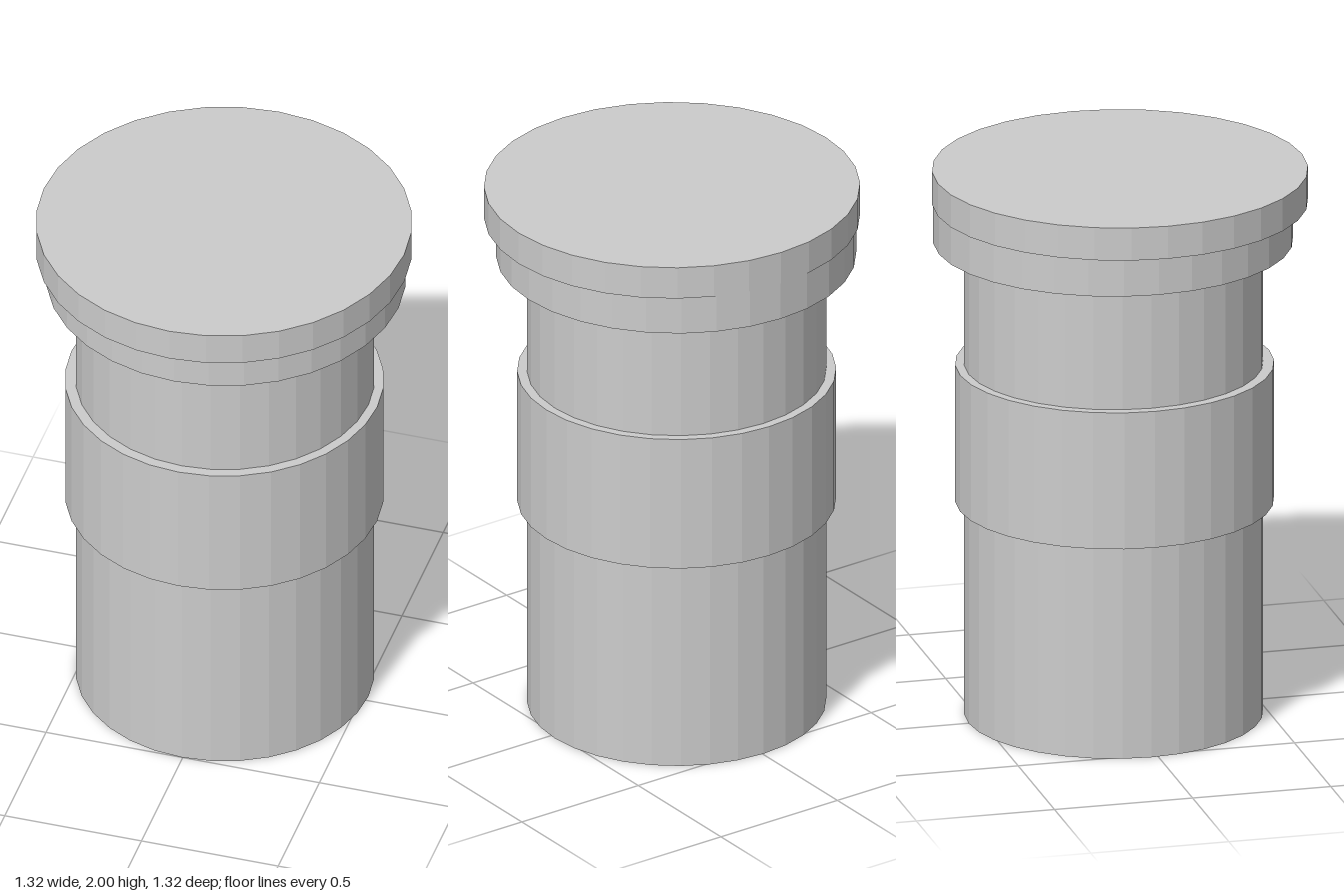
import * as THREE from 'three';

export function createModel() {
  const group = new THREE.Group();
  const material = new THREE.MeshStandardMaterial({ color: 0xcccccc, flatShading: true });

  // One faceted drum, standing from y0 to y1 and centred on (x, z)
  function drum(name, radius, y0, y1, x, z) {
    const mesh = new THREE.Mesh(new THREE.CylinderGeometry(radius, radius, y1 - y0, 32), material);
    mesh.name = name;
    mesh.position.set(x, (y0 + y1) / 2, z);
    group.add(mesh);
  }

  // The wide cap sits slightly off the axis of the parts below it
  drum('shaft', 0.524, 0, 1.74, -0.003, -0.024);
  drum('middleBand', 0.559, 0.785, 1.288, -0.005, -0.021);
  drum('collar', 0.631, 1.74, 1.88, 0, -0.025);
  drum('cap', 0.659, 1.88, 2, 0, 0);

  return group;
}
